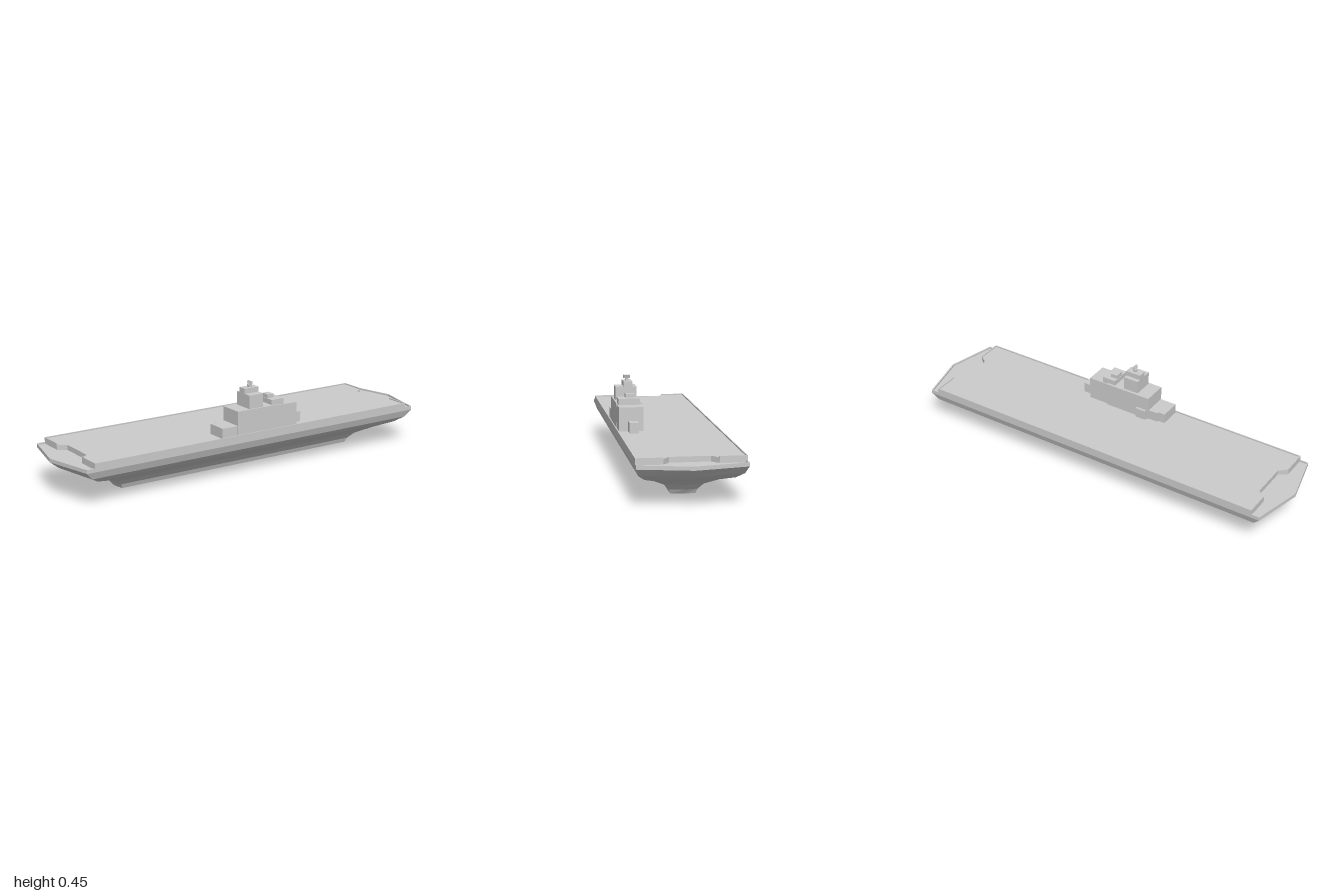
import * as THREE from 'three';

const grey = new THREE.MeshStandardMaterial({ color: 0xcccccc, flatShading: true });

function add(group, name, geometry) {
  const mesh = new THREE.Mesh(geometry, grey);
  mesh.name = name;
  group.add(mesh);
  return mesh;
}

// Box given by its limits on each axis
function block(group, name, x0, x1, y0, y1, z0, z1) {
  const mesh = add(group, name, new THREE.BoxGeometry(x1 - x0, y1 - y0, z1 - z0));
  mesh.position.set((x0 + x1) / 2, (y0 + y1) / 2, (z0 + z1) / 2);
  return mesh;
}

// Hull: stacked six-sided rings [height, half beam, corner x, tip x]
function hullGeometry() {
  const rings = [
    [0, 0.057, 0.66, 0.67], [0.022, 0.065, 0.67, 0.685], [0.05, 0.09, 0.695, 0.715],
    [0.083, 0.145, 0.77, 0.79], [0.11, 0.2, 0.865, 0.9], [0.137, 0.232, 0.91, 0.955],
    [0.172, 0.245, 0.942, 1], [0.19, 0.245, 0.942, 1],
    [0.19, 0.24, 0.937, 0.993], [0.182, 0.24, 0.937, 0.993], // inside of the bulwark
  ].map(([y, z, c, t]) => [[t, y, 0], [c, y, -z], [-c, y, -z], [-t, y, 0], [-c, y, z], [c, y, z]]);
  const pos = [];
  for (let r = 0; r < rings.length - 1; r++) {
    const low = rings[r], up = rings[r + 1];
    for (let i = 0; i < 6; i++) {
      const j = (i + 1) % 6;
      pos.push(...low[i], ...low[j], ...up[j], ...low[i], ...up[j], ...up[i]);
    }
  }
  const keel = rings[0], floor = rings[rings.length - 1];
  for (let i = 1; i < 5; i++) {
    pos.push(...keel[0], ...keel[i + 1], ...keel[i]);
    pos.push(...floor[0], ...floor[i], ...floor[i + 1]);
  }
  const g = new THREE.BufferGeometry();
  g.setAttribute('position', new THREE.Float32BufferAttribute(pos, 3));
  g.computeVertexNormals();
  return g;
}

// Flight deck with a shallow notch cut into both ends
function deckGeometry() {
  const half = [[0.9, -0.244], [0.9, -0.122], [0.86, -0.092], [0.86, 0.092], [0.9, 0.122], [0.9, 0.244]];
  const outline = [...half, ...half.map(([x, z]) => [-x, -z])];
  const shape = new THREE.Shape(outline.map(([x, z]) => new THREE.Vector2(x, z)));
  const g = new THREE.ExtrudeGeometry(shape, { depth: 0.029, bevelEnabled: false });
  return g.rotateX(-Math.PI / 2).translate(0, 0.178, 0);
}

export function createModel() {
  const ship = new THREE.Group();
  ship.name = 'ship';
  add(ship, 'hull', hullGeometry());
  add(ship, 'flightDeck', deckGeometry());

  // Low coaming along the sides and round the deck corners
  for (const s of [-1, 1]) {
    const z = s * 0.2425;
    block(ship, 'sideCoaming', -0.9, 0.9, 0.19, 0.213, z - 0.0025, z + 0.0025);
    for (const e of [-1, 1]) {
      const x = e * 0.898;
      block(ship, 'endCoaming', x - 0.0025, x + 0.0025, 0.19, 0.213,
        Math.min(s * 0.122, s * 0.244), Math.max(s * 0.122, s * 0.244));
    }
  }

  // Island superstructure
  const island = new THREE.Group();
  island.name = 'island';
  ship.add(island);
  block(island, 'mainHouse', -0.13, 0.11, 0.2, 0.327, 0.113, 0.237);
  block(island, 'endHouse', 0.11, 0.215, 0.2, 0.322, 0.12, 0.235);
  block(island, 'lowHouse', -0.215, -0.13, 0.2, 0.257, 0.13, 0.235);
  block(island, 'lowHouseCorner', -0.18, -0.13, 0.2, 0.257, 0.12, 0.13);
  block(island, 'endLocker', 0.215, 0.27, 0.2, 0.257, 0.148, 0.192);
  block(island, 'sideLocker', -0.12, -0.065, 0.2, 0.257, 0.101, 0.113);
  block(island, 'roofHouse', 0.07, 0.14, 0.32, 0.352, 0.125, 0.23);
  block(island, 'roofHousing', 0.073, 0.108, 0.352, 0.37, 0.148, 0.192);

  // Bridge tower, mast and radar
  block(island, 'bridge', -0.06, 0.02, 0.327, 0.393, 0.127, 0.23);
  block(island, 'bridgeTop', -0.06, 0.02, 0.393, 0.418, 0.148, 0.191);
  block(island, 'mast', -0.027, -0.01, 0.418, 0.43, 0.163, 0.178);
  block(island, 'radarPost', -0.02, -0.016, 0.425, 0.44, 0.169, 0.173);
  block(island, 'radar', -0.021, -0.013, 0.431, 0.447, 0.155, 0.188).rotation.z = -0.3;
  return ship;
}
